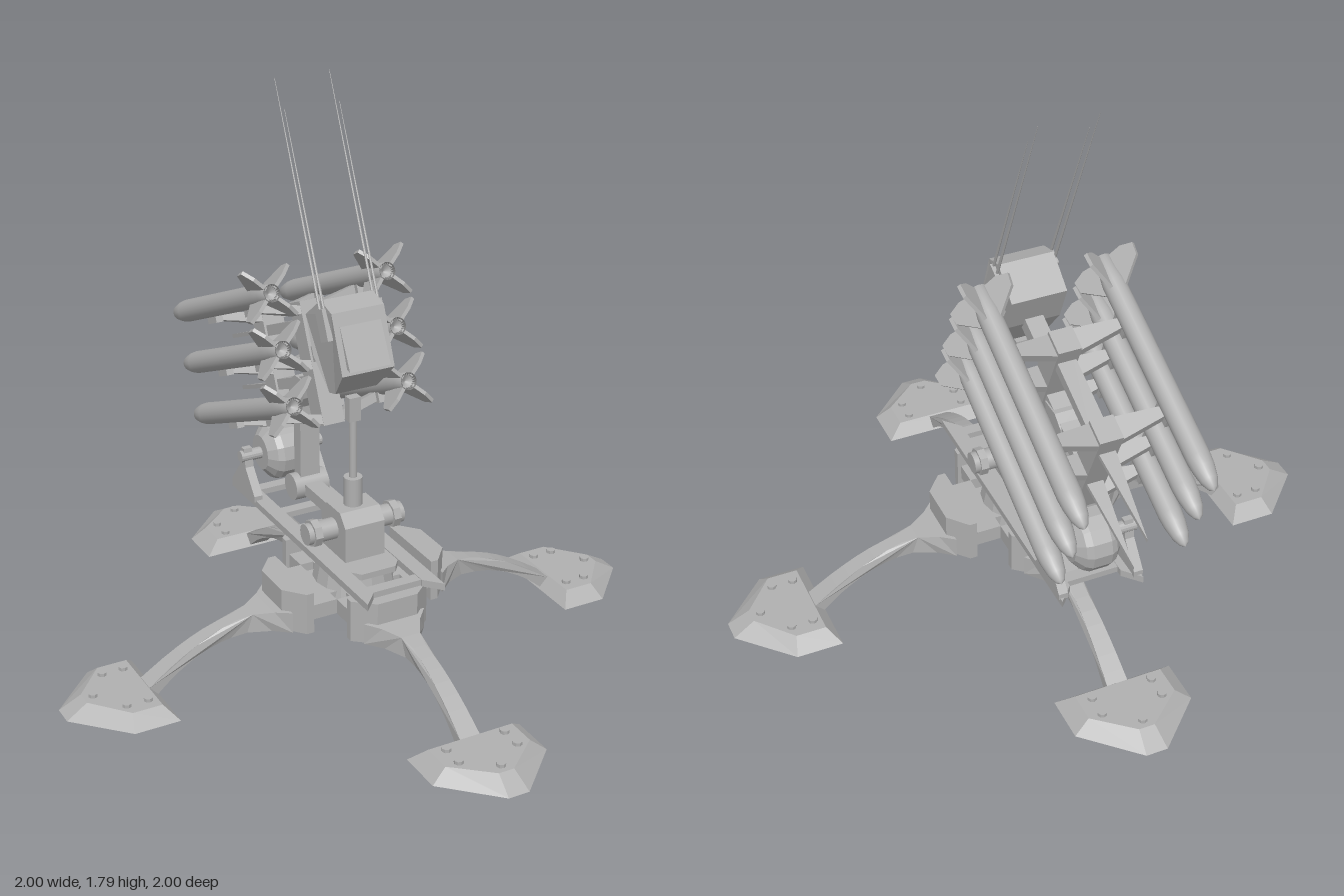
import * as THREE from 'three';

const gray = new THREE.MeshStandardMaterial({ color: 0xb0b0b0 });
gray.name = 'gray metal';
gray.flatShading = true;
const smooth = new THREE.MeshStandardMaterial({ color: 0xb0b0b0 });
smooth.name = 'smooth gray metal';

function add(parent, name, geo, x = 0, y = 0, z = 0, mat = gray) {
  const m = new THREE.Mesh(geo, mat);
  m.name = name;
  m.position.set(x, y, z);
  parent.add(m);
  return m;
}
const box = (w, h, d) => new THREE.BoxGeometry(w, h, d);
const shapeOf = pts => new THREE.Shape(pts.map(p => new THREE.Vector2(p[0], p[1])));

// side profile of (z, y) points, extruded across x and centred
function side(pts, width) {
  const g = new THREE.ExtrudeGeometry(shapeOf(pts), { depth: width, bevelEnabled: false });
  return g.translate(0, 0, -width / 2).rotateY(-Math.PI / 2);
}
// plan outline of (x, z) points, from y0 to y1
function plan(pts, y0, y1) {
  const g = new THREE.ExtrudeGeometry(shapeOf(pts), { depth: y1 - y0, bevelEnabled: false });
  return g.rotateX(Math.PI / 2).translate(0, y1, 0);
}
// move every vertex by a rule
function warp(g, rule) {
  const p = g.attributes.position, v = new THREE.Vector3();
  for (let i = 0; i < p.count; i++) {
    v.fromBufferAttribute(p, i);
    rule(v);
    p.setXYZ(i, v.x, v.y, v.z);
  }
  g.computeVertexNormals();
  return g;
}
const axle = (r, len, n = 16) => new THREE.CylinderGeometry(r, r, len, n).rotateZ(Math.PI / 2);

// one leg pointing along +z
function makeLeg() {
  const leg = new THREE.Group();
  leg.name = 'leg';
  const curve = pts => new THREE.SplineCurve(pts.map(p => new THREE.Vector2(...p))).getPoints(10).map(p => [p.x, p.y]);
  const upper = curve([[0.27, 0.21], [0.4, 0.19], [0.52, 0.155], [0.63, 0.1], [0.73, 0.035]]);
  const lower = curve([[0.7, 0.005], [0.63, 0.06], [0.53, 0.11], [0.42, 0.13], [0.27, 0.14]]);
  const arch = warp(side([...upper, ...lower], 2), v => {
    v.x *= v.z < 0.43 ? 0.022 + 0.085 * ((0.43 - v.z) / 0.16) ** 2 : 0.022 + 0.012 * (v.z - 0.43) / 0.3;
  });
  add(leg, 'legArch', arch);
  add(leg, 'legBracket', plan([[-0.135, 0.21], [-0.135, 0.235], [-0.07, 0.29], [0.07, 0.29], [0.135, 0.235], [0.135, 0.21]], 0.14, 0.28));
  add(leg, 'hubBeam', box(0.16, 0.07, 0.23), 0, 0.195, 0.115);
  add(leg, 'hubBlock', box(0.25, 0.05, 0.08), 0, 0.205, 0.165);
  // foot pad with sloping sides
  const pad = plan([[-0.195, 0.695], [0.195, 0.695], [0.195, 0.845], [0.035, 1], [-0.035, 1], [-0.195, 0.845]], 0, 0.04);
  add(leg, 'footPad', warp(pad, v => {
    if (v.y > 0.03) { v.x *= 0.74; v.z = 0.8 + (v.z - 0.8) * 0.65; }
  }));
  for (const [x, z] of [[-0.1, 0.76], [0.1, 0.76], [-0.1, 0.83], [0.1, 0.83], [0, 0.9]])
    add(leg, 'footBolt', new THREE.CylinderGeometry(0.015, 0.015, 0.012, 8), x, 0.045, z);
  return leg;
}

// missile with its tail at the origin, flying along -z
function makeMissile() {
  const g = new THREE.Group();
  g.name = 'missile';
  const profile = [[0, 0.03], [0.018, 0.015], [0.028, 0], [0.03, 0.05], [0.036, 0.09], [0.037, 0.7], [0.034, 0.735], [0.026, 0.775], [0.014, 0.8], [0, 0.81]];
  const body = new THREE.LatheGeometry(profile.map(p => new THREE.Vector2(...p)), 20).rotateX(-Math.PI / 2);
  add(g, 'missileBody', body, 0, 0, 0, smooth);
  for (let i = 0; i < 4; i++) {
    const fin = side([[-0.005, 0.02], [0, 0.07], [-0.015, 0.11], [-0.055, 0.105], [-0.12, 0.03]], 0.012);
    add(g, 'tailFin', fin).rotation.z = Math.PI / 4 + i * Math.PI / 2;
  }
  return g;
}

// tilted rack: two cross posts, spars, spikes and six missiles
function makeRack() {
  const rack = new THREE.Group();
  rack.name = 'launchRack';
  rack.position.set(0, 1.017, -0.075);
  rack.rotation.x = -0.417;
  for (const s of [-1, 1])
    for (let i = -1; i <= 1; i++) {
      const m = makeMissile();
      m.position.set(s * 0.2, i * 0.175, 0);
      rack.add(m);
    }
  for (const w of [0.21, 0.52]) {
    add(rack, 'rackPost', box(0.075, 0.4, 0.08), 0, -0.065, -w);
    for (const s of [-1, 1])
      for (let i = -1; i <= 1; i++) {
        const spar = warp(box(0.15, 0.03, 0.08), v => {
          const t = (v.x * s + 0.075) / 0.15;
          v.z *= 1 - 0.6 * t;
          v.y += 0.035 * t;
        });
        add(rack, 'missileSpar', spar, s * 0.105, i * 0.175 - 0.07, -w);
        add(rack, 'missileShoe', box(0.025, 0.035, 0.07), s * 0.185, i * 0.175 - 0.04, -w);
      }
  }
  for (const v of [0.06, -0.12]) {
    add(rack, 'rackBeam', box(0.06, 0.035, 0.31), 0, v, -0.365);
    add(rack, 'rackSpike', plan([[-0.03, -0.52], [-0.018, -0.65], [0, -0.85], [0.018, -0.65], [0.03, -0.52]], v - 0.007, v + 0.007));
  }
  return rack;
}

export function createModel() {
  const model = new THREE.Group();
  model.name = 'missileLauncher';

  // base
  for (let i = 0; i < 4; i++) {
    const leg = makeLeg();
    leg.rotation.y = i * Math.PI / 2;
    model.add(leg);
  }
  add(model, 'hub', new THREE.CylinderGeometry(0.12, 0.14, 0.1, 16), 0, 0.235, 0);
  add(model, 'turntable', new THREE.CylinderGeometry(0.09, 0.09, 0.04, 24), 0, 0.29, 0);

  // deck
  for (const s of [-1, 1]) {
    const rail = plan([[0.085, 0.29], [0.135, 0.345], [0.135, -0.615], [0.085, -0.56]], 0.302, 0.325);
    if (s < 0) rail.rotateZ(Math.PI).translate(0, 0.627, 0);
    add(model, 'deckRail', rail);
    add(model, 'drumSupport', side([[-0.43, 0.32], [-0.6, 0.32], [-0.6, 0.34], [-0.535, 0.42], [-0.525, 0.485], [-0.505, 0.485], [-0.495, 0.42], [-0.43, 0.34]], 0.03), s * 0.125);
  }
  add(model, 'deckPlate', plan([[-0.1, 0.12], [-0.06, 0.17], [0.06, 0.17], [0.1, 0.12], [0.1, -0.14], [-0.1, -0.14]], 0.302, 0.322));
  for (const z of [0.265, -0.33, -0.52]) add(model, 'deckCrossbar', box(0.2, 0.02, 0.04), 0, 0.313, z);

  // cable drum
  const drum = [[0, -0.075], [0.06, -0.075], [0.09, -0.05], [0.1, -0.03], [0.1, 0.03], [0.09, 0.05], [0.06, 0.075], [0, 0.075]];
  add(model, 'drum', new THREE.LatheGeometry(drum.map(p => new THREE.Vector2(...p)), 14).rotateZ(Math.PI / 2), 0, 0.455, -0.515);
  add(model, 'drumAxle', axle(0.02, 0.3), 0, 0.455, -0.515);

  // turret, mast and swing arm
  add(model, 'turret', side([[0.08, 0.32], [0.08, 0.44], [0.045, 0.48], [-0.045, 0.48], [-0.08, 0.44], [-0.08, 0.32]], 0.14));
  add(model, 'turretAxle', axle(0.035, 0.34), 0, 0.41, 0, smooth);
  for (const s of [-1, 1]) add(model, 'axleFlange', axle(0.045, 0.025, 8), s * 0.14, 0.41, 0);
  add(model, 'mastSleeve', new THREE.CylinderGeometry(0.03, 0.03, 0.1, 16), 0, 0.525, 0, smooth);
  add(model, 'mastRod', new THREE.CylinderGeometry(0.013, 0.013, 0.28, 12), 0, 0.71, 0, smooth);
  add(model, 'mastClamp', box(0.04, 0.08, 0.03), 0, 0.81, 0);
  add(model, 'swingLink', box(0.06, 0.04, 0.24), 0, 0.41, -0.19);
  add(model, 'swingPivot', axle(0.045, 0.12), 0, 0.41, -0.317, smooth);
  add(model, 'swingArm', side([[-0.295, 0.41], [-0.34, 0.41], [-0.34, 0.65], [-0.375, 0.72], [-0.37, 0.77], [-0.33, 0.8], [-0.26, 0.8], [-0.27, 0.74], [-0.295, 0.7]], 0.07));

  model.add(makeRack());

  // control head
  const head = warp(side([[0.03, 1.15], [-0.04, 1.17], [-0.14, 1.09], [-0.09, 0.97], [-0.02, 0.87], [0.02, 0.88], [0.1, 0.97]], 0.18), v => {
    if (v.y < 0.9) v.x *= 0.8;
  });
  add(model, 'controlHead', head);
  add(model, 'headPanel', side([[0.035, 1.11], [0.02, 1.11], [0.075, 0.99], [0.1, 0.985]], 0.14), 0, 0, 0.012);
  add(model, 'headNeck', box(0.06, 0.05, 0.18), 0, 0.94, -0.16).rotation.x = -0.417;
  for (const s of [-1, 1]) {
    add(model, 'antennaMount', box(0.02, 0.1, 0.05), s * 0.093, 1.1, -0.01).rotation.x = -0.417;
    for (const [z0, y0, z1, y1] of [[-0.025, 1.11, -0.325, 1.79], [0.01, 1.1, -0.26, 1.71]]) {
      const a = new THREE.Vector3(s * 0.093, y0, z0), b = new THREE.Vector3(s * 0.093, y1, z1);
      const rod = add(model, 'antenna', new THREE.CylinderGeometry(0.0008, 0.005, a.distanceTo(b), 6));
      rod.position.copy(a).lerp(b, 0.5);
      rod.quaternion.setFromUnitVectors(new THREE.Vector3(0, 1, 0), b.sub(a).normalize());
    }
  }
  return model;
}
